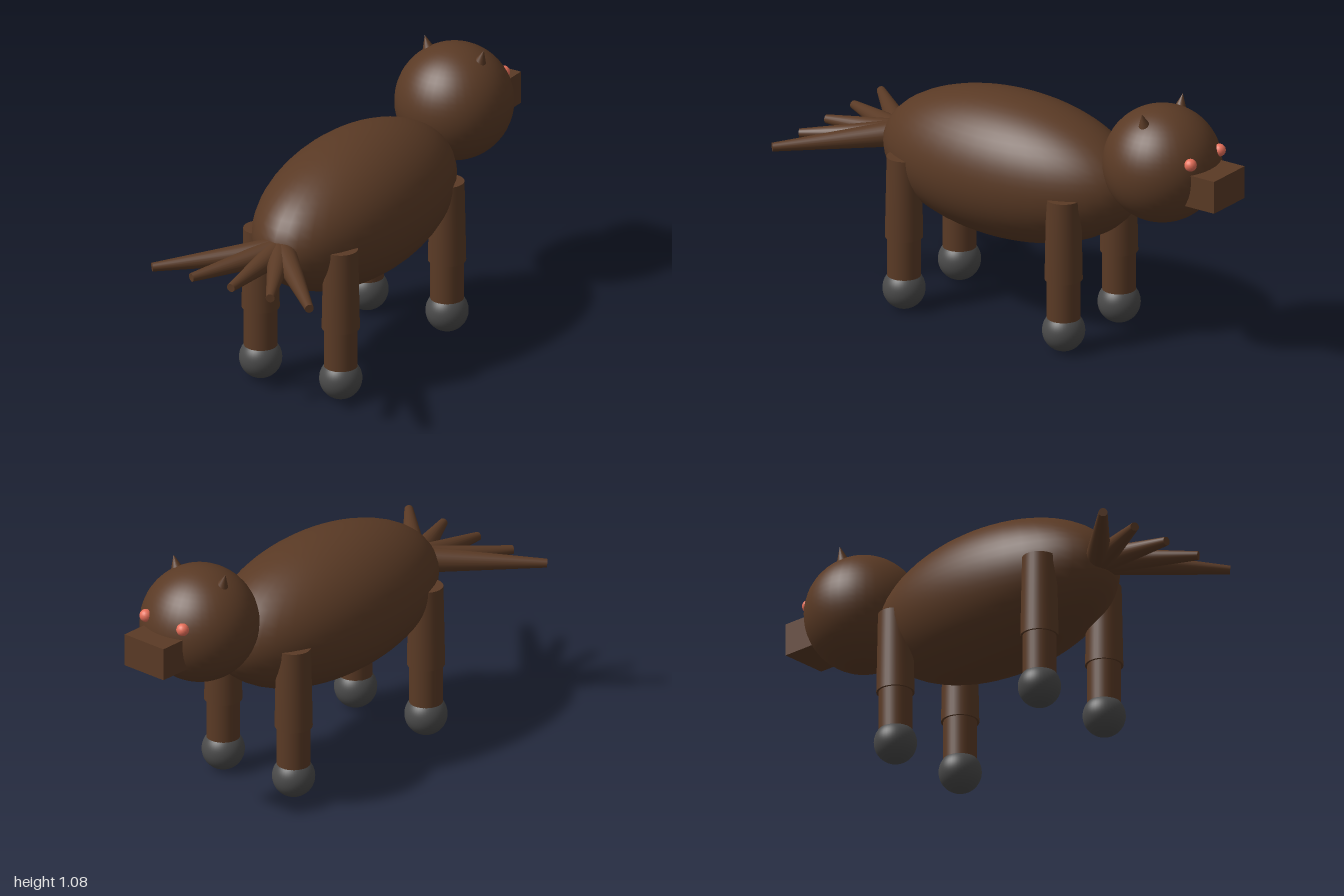
import * as THREE from 'three';

export function createModel() {
  const model = new THREE.Group();
  const material = (name, color) => {
    const m = new THREE.MeshStandardMaterial({ color });
    m.name = name;
    return m;
  };
  const brown = material('brown fur', 0x5a3a25);
  const grey = material('dark grey hoof', 0x4a4a4a);
  const coral = material('coral eye', 0xe8705a);

  const add = (name, geometry, mat, x, y, z) => {
    const mesh = new THREE.Mesh(geometry, mat);
    mesh.name = name;
    mesh.position.set(x, y, z);
    model.add(mesh);
    return mesh;
  };
  const ball = (r) => new THREE.SphereGeometry(r, 40, 28);

  // Tapered cylinder running from point a to point b
  const strand = (name, a, b, ra, rb) => {
    const dir = b.clone().sub(a);
    const mid = a.clone().add(b).multiplyScalar(0.5);
    const mesh = add(name, new THREE.CylinderGeometry(rb, ra, dir.length(), 24), brown, mid.x, mid.y, mid.z);
    mesh.quaternion.setFromUnitVectors(new THREE.Vector3(0, 1, 0), dir.normalize());
  };

  // Body, head and snout; the head points towards -z
  add('body', ball(1), brown, 0, 0.655, 0.07).scale.set(0.302, 0.302, 0.6);
  add('head', ball(0.241), brown, 0, 0.83, -0.67);
  add('snout', new THREE.BoxGeometry(0.21, 0.137, 0.24), brown, 0, 0.788, -0.88);

  for (const side of [-1, 1]) {
    // Eyes and ears
    add('eye', new THREE.SphereGeometry(0.026, 16, 12), coral, side * 0.1, 0.9, -0.88);
    const ear = add('ear', new THREE.ConeGeometry(0.025, 0.06, 20), brown, side * 0.132, 1.055, -0.67);
    ear.rotation.z = -side * 0.31;

    // Legs and hooves
    for (const [end, z] of [['front', -0.32], ['hind', 0.467]]) {
      const x = side * 0.191;
      add(end + 'UpperLeg', new THREE.CylinderGeometry(0.07, 0.077, 0.345, 32), brown, x, 0.4825, z);
      add(end + 'LowerLeg', new THREE.CylinderGeometry(0.068, 0.068, 0.22, 32), brown, x, 0.22, z);
      add(end + 'Hoof', ball(0.087), grey, x, 0.088, z);
    }
  }

  // Fan of five tail strands
  for (const x of [-0.375, -0.188, 0, 0.188, 0.375]) {
    strand('tailStrand', new THREE.Vector3(0, 0.66, 0.61), new THREE.Vector3(x, 0.632, 0.985), 0.055, 0.018);
  }
  return model;
}
